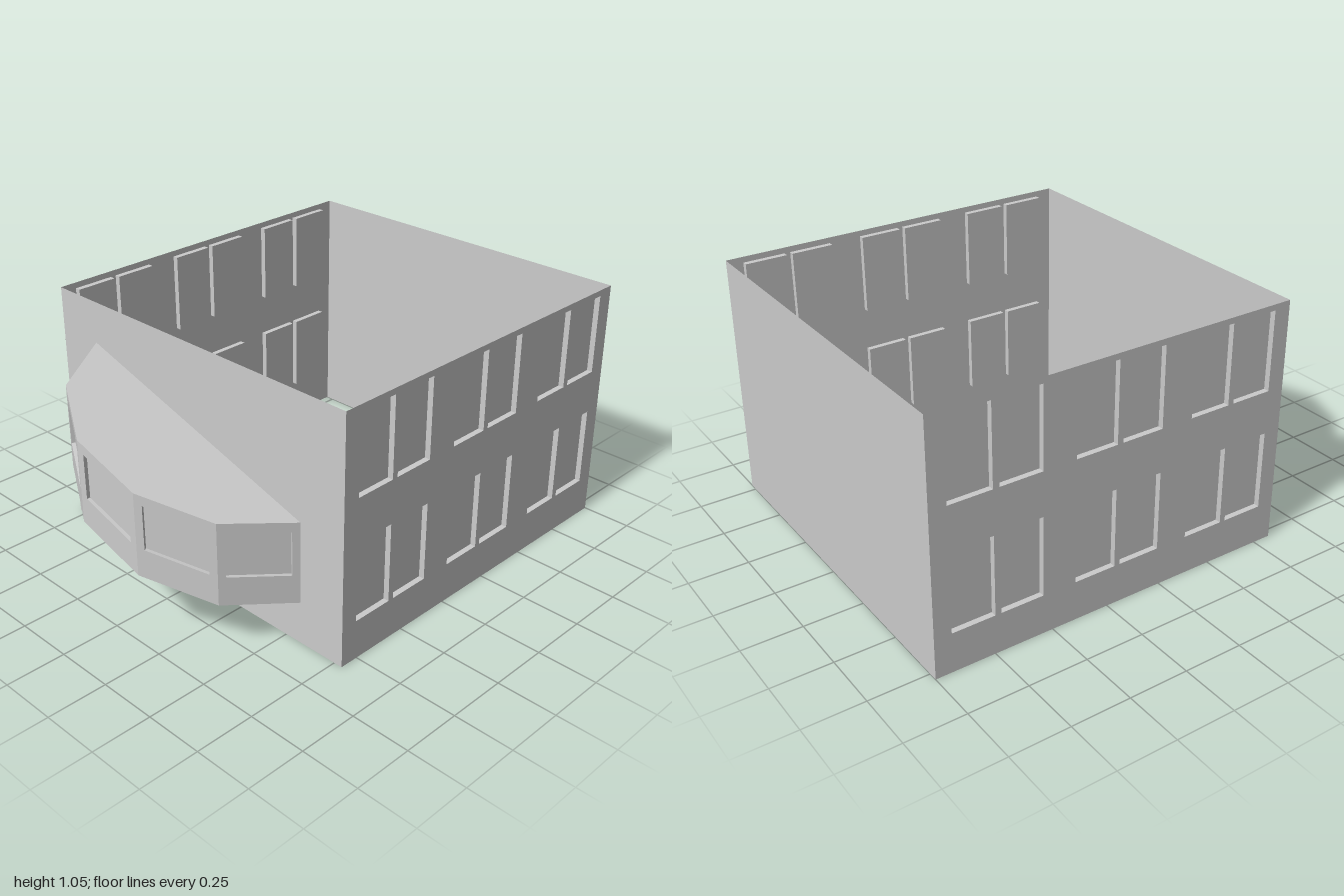
import * as THREE from 'three';
import { mergeGeometries } from 'three/addons/utils/BufferGeometryUtils.js';

const material = new THREE.MeshStandardMaterial({
  color: 0xcccccc, flatShading: true, side: THREE.DoubleSide,
});

// Rectangle as points, for outlines and holes
const rect = (u0, v0, u1, v1) =>
  [[u0, v0], [u1, v0], [u1, v1], [u0, v1]].map(([u, v]) => new THREE.Vector2(u, v));

// Box with no front face, turned inside out: pane plus four reveals
function recess([u0, v0, u1, v1], depth) {
  const box = new THREE.BoxGeometry(u1 - u0, v1 - v0, depth);
  const index = [...box.index.array].filter((_, i) => i < 24 || i >= 30).reverse();
  box.setIndex(index);
  box.translate((u0 + u1) / 2, (v0 + v1) / 2, -depth / 2);
  const geometry = box.toNonIndexed();
  geometry.computeVertexNormals();
  return geometry;
}

// Thin wall from a to b (x, z), pierced by recessed windows; slope tilts it along z
function wall(name, a, b, base, height, windows = [], depth = 0, slope = 0) {
  const length = Math.hypot(b[0] - a[0], b[1] - a[1]);
  const dx = (b[0] - a[0]) / length, dz = (b[1] - a[1]) / length;
  const shape = new THREE.Shape(rect(0, 0, length, height));
  windows.forEach((w) => shape.holes.push(new THREE.Path(rect(...w))));
  const geometry = mergeGeometries([
    new THREE.ShapeGeometry(shape).toNonIndexed(),
    ...windows.map((w) => recess(w, depth)),
  ]);
  const matrix = new THREE.Matrix4().makeBasis(
    new THREE.Vector3(dx, slope * dz, dz),
    new THREE.Vector3(0, 1, 0),
    new THREE.Vector3(-dz, 0, dx),
  ).setPosition(a[0], base + slope * a[1], a[1]);
  geometry.applyMatrix4(matrix);
  const mesh = new THREE.Mesh(geometry, material);
  mesh.name = name;
  return mesh;
}

export function createModel() {
  const model = new THREE.Group();
  model.name = 'building';

  // Main walls, open above and below
  const X0 = -0.58, X1 = 1, Z = 0.787, H = 1.053;
  const columns = [-0.508, -0.303, 0.015, 0.22, 0.542, 0.748];
  const rows = [[0.168, 0.504], [0.69, 1.028]];
  const W = 0.18;
  // Window rectangles measured from the wall's starting end
  const windows = (toU) => rows.flatMap(([v0, v1]) =>
    columns.map((x) => [toU(x), v0, toU(x) + W, v1]));
  model.add(
    wall('frontWall', [X0, Z], [X1, Z], 0, H, windows((x) => x - X0), 0.024),
    wall('backWall', [X1, -Z], [X0, -Z], 0, H, windows((x) => X1 - x - W), 0.024),
    wall('leftWall', [X1, Z], [X1, -Z], 0, H),
    wall('rightWall', [X0, -Z], [X0, Z], 0, H),
  );

  // Slanting bay on the right wall
  const bay = new THREE.Group();
  bay.name = 'bay';
  const half = [[X0, 0.575], [-0.847, 0.422], [-1, 0.157]];
  const plan = [...half.map(([x, z]) => [x, -z]), ...half.slice().reverse()];
  const slope = -0.3, floorY = 0.354, bayH = 0.348;

  // Five faces, one window in each
  for (let i = 0; i < 5; i++) {
    const [a, b] = [plan[i], plan[i + 1]];
    const length = Math.hypot(b[0] - a[0], b[1] - a[1]);
    const opening = [length * 0.1, 0.121, length * 0.9, 0.307];
    bay.add(wall('bayFace' + (i + 1), a, b, floorY, bayH, [opening], 0.015, slope));
  }

  // Roof and floor share the symmetrical plan
  const shape = new THREE.Shape(plan.map(([x, z]) => new THREE.Vector2(x, z)));
  for (const [name, y, s] of [['bayRoof', floorY + bayH, -1], ['bayFloor', floorY, 1]]) {
    const geometry = new THREE.ShapeGeometry(shape);
    geometry.applyMatrix4(new THREE.Matrix4().makeBasis(
      new THREE.Vector3(1, 0, 0),
      new THREE.Vector3(0, slope * s, s),
      new THREE.Vector3(0, -s, 0),
    ).setPosition(0, y, 0));
    const mesh = new THREE.Mesh(geometry, material);
    mesh.name = name;
    bay.add(mesh);
  }
  model.add(bay);
  return model;
}
